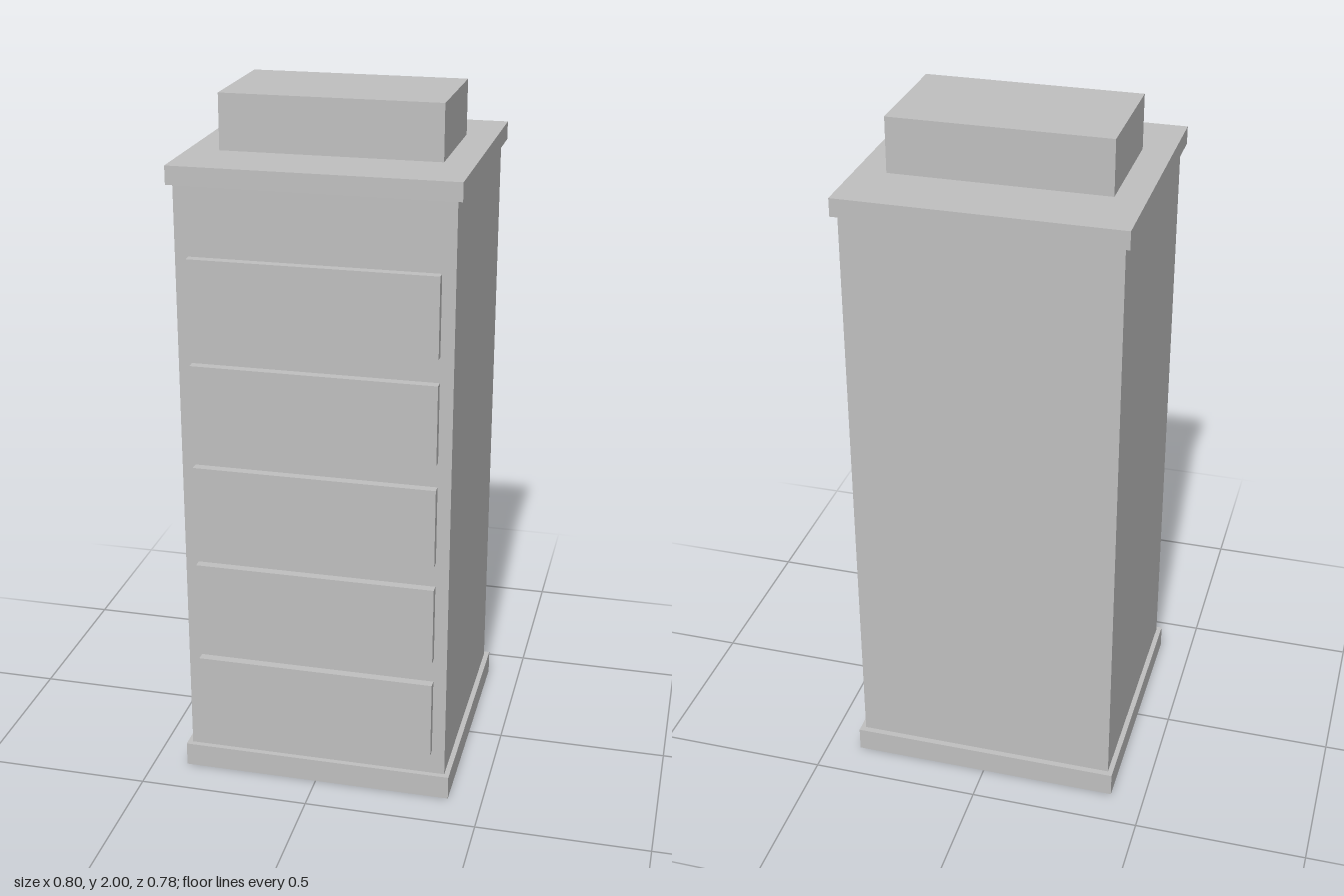
import * as THREE from 'three';

export function createModel() {
  const group = new THREE.Group();
  const grey = new THREE.MeshStandardMaterial({ color: 0xbfbfbf });
  grey.name = 'grey';

  // Box given by half width, y range and z range
  const addBox = (name, halfX, y0, y1, z0, z1) => {
    const mesh = new THREE.Mesh(new THREE.BoxGeometry(halfX * 2, y1 - y0, z1 - z0), grey);
    mesh.position.set(0, (y0 + y1) / 2, (z0 + z1) / 2);
    mesh.name = name;
    group.add(mesh);
  };

  // Cabinet carcass between its base plinth and top slab
  addBox('plinth', 0.4, 0, 0.071, -0.388, 0.378);
  addBox('cabinetBody', 0.385, 0.071, 1.79, -0.37, 0.362);
  addBox('topSlab', 0.4, 1.79, 1.842, -0.388, 0.378);

  // Box resting on top
  addBox('topBox', 0.312, 1.842, 2, -0.184, 0.172);

  // Five drawer fronts
  for (let i = 0; i < 5; i++) {
    const y = 0.146 + i * 0.304;
    addBox(`drawerFront${i + 1}`, 0.347, y, y + 0.23, 0.362, 0.388);
  }
  return group;
}
